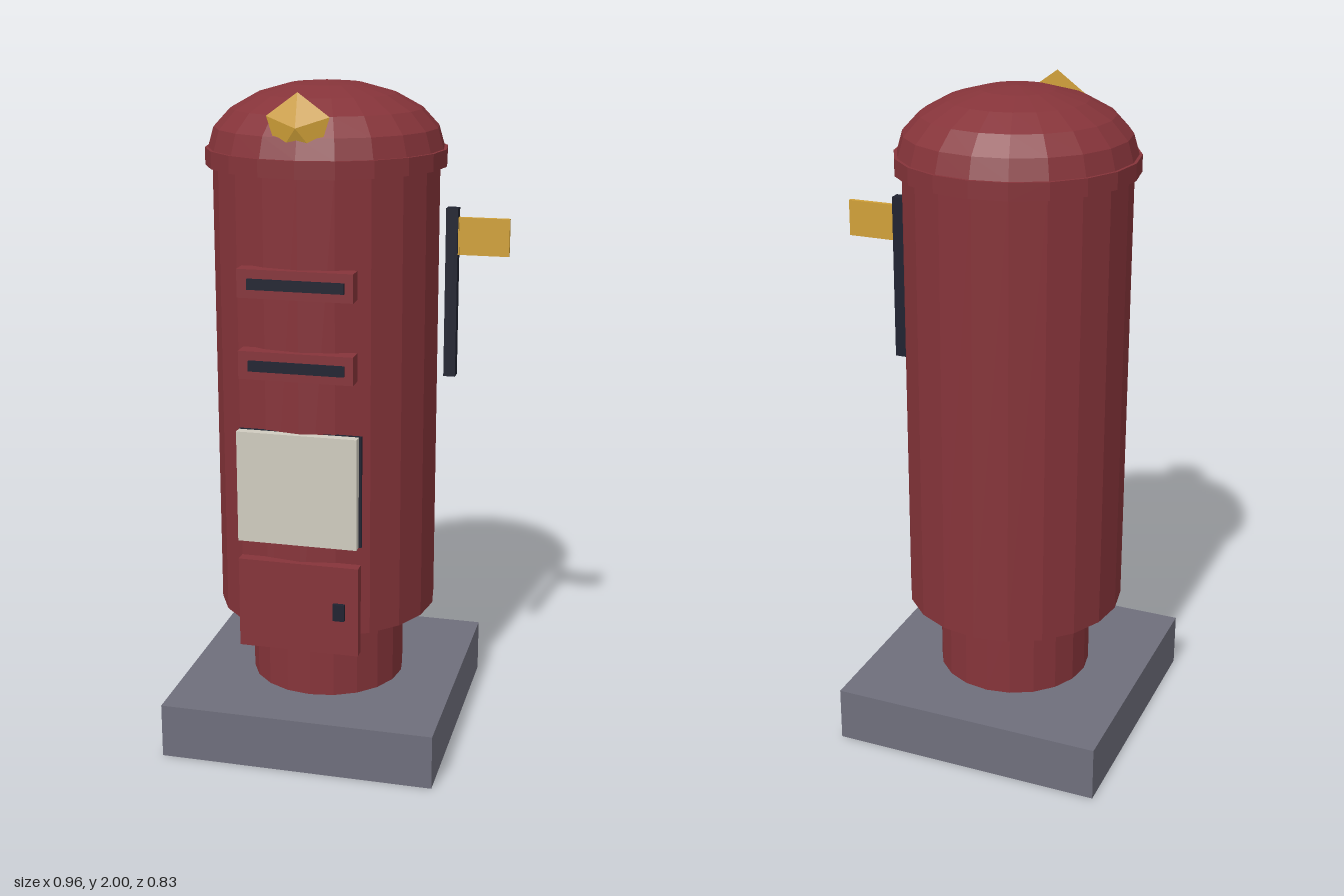
import * as THREE from 'three';

const AXIS = -0.064; // x of the pillar's vertical axis
const SIDES = 20;

function material(name, color) {
  const m = new THREE.MeshStandardMaterial({ color, flatShading: true });
  m.name = name;
  return m;
}

export function createModel() {
  const red = material('post red', 0x86343a);
  const dark = material('dark iron', 0x1f2230);
  const gold = material('gold', 0xd0a038);
  const cream = material('cream', 0xd0ccc0);
  const stone = material('grey stone', 0x6f6f7c);

  const model = new THREE.Group();
  model.name = 'pillarBox';

  function add(name, geometry, mat, x = 0, y = 0, z = 0) {
    const mesh = new THREE.Mesh(geometry, mat);
    mesh.name = name;
    mesh.position.set(x, y, z);
    model.add(mesh);
    return mesh;
  }
  // Box given by its limits on each axis
  function box(name, mat, [x0, x1], [y0, y1], [z0, z1]) {
    return add(name, new THREE.BoxGeometry(x1 - x0, y1 - y0, z1 - z0), mat,
      (x0 + x1) / 2, (y0 + y1) / 2, (z0 + z1) / 2);
  }
  // Upright drum on the pillar axis
  function drum(name, radius, y0, y1) {
    return add(name, new THREE.CylinderGeometry(radius, radius, y1 - y0, SIDES), red,
      AXIS, (y0 + y1) / 2, 0);
  }

  // Plinth and pillar
  box('plinth', stone, [-0.48, 0.353], [0, 0.167], [-0.4165, 0.4165]);
  drum('foot', 0.236, 0.167, 0.42);
  drum('body', 0.333, 0.408, 1.78);
  drum('capRim', 0.354, 1.76, 1.81);

  // Flattened dome
  const dome = new THREE.SphereGeometry(0.345, SIDES, 5, 0, Math.PI * 2, 0, Math.PI / 2);
  dome.scale(1, 0.19 / 0.345, 1);
  add('dome', dome, red, AXIS, 1.81, 0);

  // Five-sided crest, its tip facing forward
  const crest = new THREE.CylinderGeometry(0, 0.094, 0.029, 5, 1, false, Math.PI);
  crest.rotateX(Math.PI / 2);
  add('crest', crest, gold, AXIS, 1.896, 0.328);

  // Two letter slots
  for (const y of [1.466, 1.231]) {
    box('slotHousing', red, [-0.235, 0.1], [y - 0.041, y + 0.041], [0.3, 0.352]);
    box('slotOpening', dark, [-0.204, 0.076], [y - 0.015, y + 0.015], [0.34, 0.362]);
  }

  // Notice plate on its dark backing
  box('noticeBacking', dark, [-0.246, 0.118], [0.697, 1.033], [0.313, 0.322]);
  box('noticePlate', cream, [-0.246, 0.11], [0.698, 1.032], [0.322, 0.35]);

  // Collection door and lock
  box('door', red, [-0.246, 0.115], [0.366, 0.641], [0.315, 0.35]);
  box('lock', dark, [0.041, 0.076], [0.477, 0.528], [0.34, 0.362]);

  // Side flag on its post
  box('flagPost', dark, [0.294, 0.329], [1.144, 1.644], [-0.017, 0.017]);
  box('flag', gold, [0.327, 0.478], [1.508, 1.617], [-0.007, 0.007]);
  // Flag mount strip let into the post's outer face
  box('flagMount', gold, [0.325, 0.333], [1.508, 1.617], [-0.01, 0.01]);

  return model;
}
